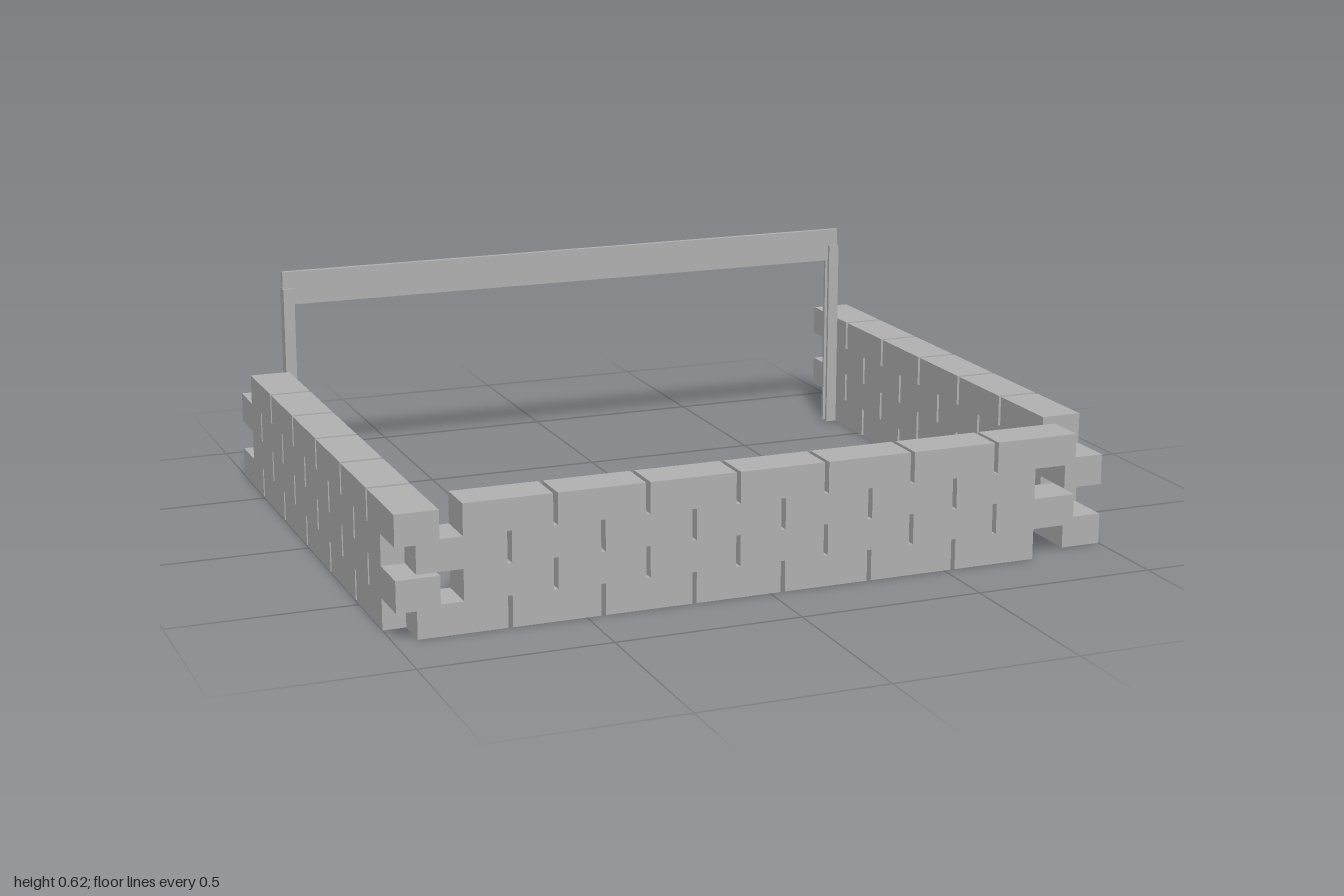
import * as THREE from 'three';

const PITCH = 0.245, GAP = 0.012, ROW = 0.0833, THICK = 0.113;

export function createModel() {
  const group = new THREE.Group();
  const grey = new THREE.MeshStandardMaterial({ color: 0xb2b2b2 });

  function box(parent, name, x0, x1, y0, y1, z0, z1) {
    const mesh = new THREE.Mesh(new THREE.BoxGeometry(x1 - x0, y1 - y0, z1 - z0), grey);
    mesh.position.set((x0 + x1) / 2, (y0 + y1) / 2, (z0 + z1) / 2);
    mesh.name = name;
    parent.add(mesh);
    return mesh;
  }

  // Four staggered courses of blocks along local x, with open joints between them
  function wall(name, count, lowStart, highStart) {
    const g = new THREE.Group();
    g.name = name;
    for (let row = 0; row < 4; row++) {
      const start = row % 2 ? highStart : lowStart;
      for (let i = 0; i < count; i++) {
        const x = start + i * PITCH;
        box(g, 'block', x + GAP / 2, x + PITCH - GAP / 2,
          row * ROW, (row + 1) * ROW, -THICK / 2, THICK / 2);
      }
    }
    group.add(g);
    return g;
  }

  // Front wall and the two side walls, which are half a turn apart
  wall('frontWall', 7, -0.945, -0.825).position.z = 0.749;
  const right = wall('sideWallPlusX', 6, -0.755, -0.63);
  right.rotation.y = Math.PI / 2;
  right.position.x = 1 - THICK / 2;
  const left = wall('sideWallMinusX', 6, -0.755, -0.63);
  left.rotation.y = -Math.PI / 2;
  left.position.x = -1 + THICK / 2;

  // Step against the inside of the front wall
  box(group, 'step', -0.23, 0.225, 0, 0.265, 0.516, 0.683);

  // Channel posts, open towards the middle, holding the cross board
  for (const s of [-1, 1]) {
    const post = new THREE.Group();
    post.name = s < 0 ? 'postMinusX' : 'postPlusX';
    const span = (a, b) => (s > 0 ? [a, b] : [-b, -a]);
    box(post, 'postBack', ...span(0.875, 0.886), 0, 0.568, -0.7, -0.663);
    box(post, 'postRail', ...span(0.854, 0.875), 0, 0.568, -0.7, -0.69);
    box(post, 'postRail', ...span(0.854, 0.875), 0, 0.568, -0.673, -0.663);
    group.add(post);
  }
  box(group, 'crossBoard', -0.885, 0.885, 0.52, 0.617, -0.689, -0.674);

  return group;
}
